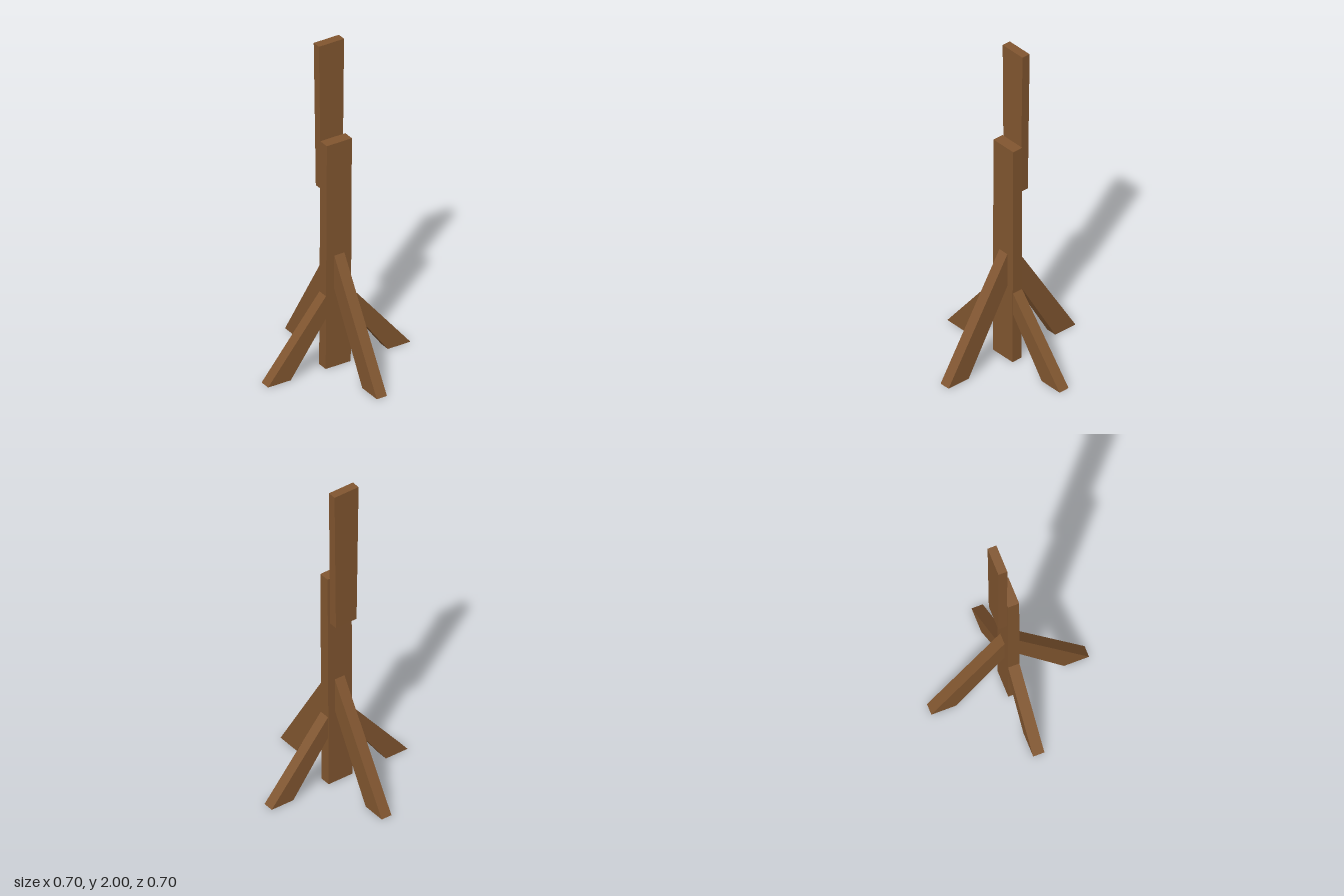
import * as THREE from 'three';

const wood = new THREE.MeshStandardMaterial({ color: 0x80552f });
wood.name = 'brown wood';

// Upright board: end = { y, x, z, width }, interpolated from bottom to top
function board(name, bottom, top, thickness) {
  const geometry = new THREE.BoxGeometry(1, 1, thickness);
  const p = geometry.attributes.position;
  for (let i = 0; i < p.count; i++) {
    const end = p.getY(i) > 0 ? top : bottom;
    p.setXYZ(i, end.x + p.getX(i) * end.width, end.y, end.z + p.getZ(i));
  }
  geometry.computeVertexNormals();
  const mesh = new THREE.Mesh(geometry, wood);
  mesh.name = name;
  return mesh;
}

// Slanted brace, cut flat on the ground and vertical against the post
function brace(name, angle, inner, upperY, lowerY) {
  const width = 0.066;
  const shape = new THREE.Shape([
    new THREE.Vector2(0.316, 0),
    new THREE.Vector2(0.463, 0),
    new THREE.Vector2(inner, upperY),
    new THREE.Vector2(inner, lowerY),
  ]);
  const geometry = new THREE.ExtrudeGeometry(shape, { depth: width, bevelEnabled: false });
  geometry.translate(0, 0, -width / 2);
  const mesh = new THREE.Mesh(geometry, wood);
  mesh.name = name;
  mesh.rotation.y = angle;
  return mesh;
}

export function createModel() {
  const model = new THREE.Group();
  model.name = 'bracedPost';

  // All parts are built square, then turned to the diagonal
  const frame = new THREE.Group();
  frame.name = 'frame';
  frame.rotation.y = Math.PI / 4;
  model.add(frame);

  frame.add(
    board('lowerPost',
      { y: 0, x: -0.007, z: 0, width: 0.163 },
      { y: 1.405, x: 0, z: 0.001, width: 0.163 }, 0.066),
    board('upperPlank',
      { y: 1.1, x: -0.005, z: -0.061, width: 0.141 },
      { y: 2, x: -0.005, z: -0.064, width: 0.164 }, 0.052),
  );

  // Tall braces on the broad faces, short ones on the narrow edges
  frame.add(
    brace('frontBrace', -Math.PI / 2, 0.033, 0.7, 0.49),
    brace('backBrace', Math.PI / 2, 0.033, 0.7, 0.49),
    brace('leftBrace', 0, 0.079, 0.46, 0.32),
    brace('rightBrace', Math.PI, 0.085, 0.46, 0.32),
  );
  return model;
}
